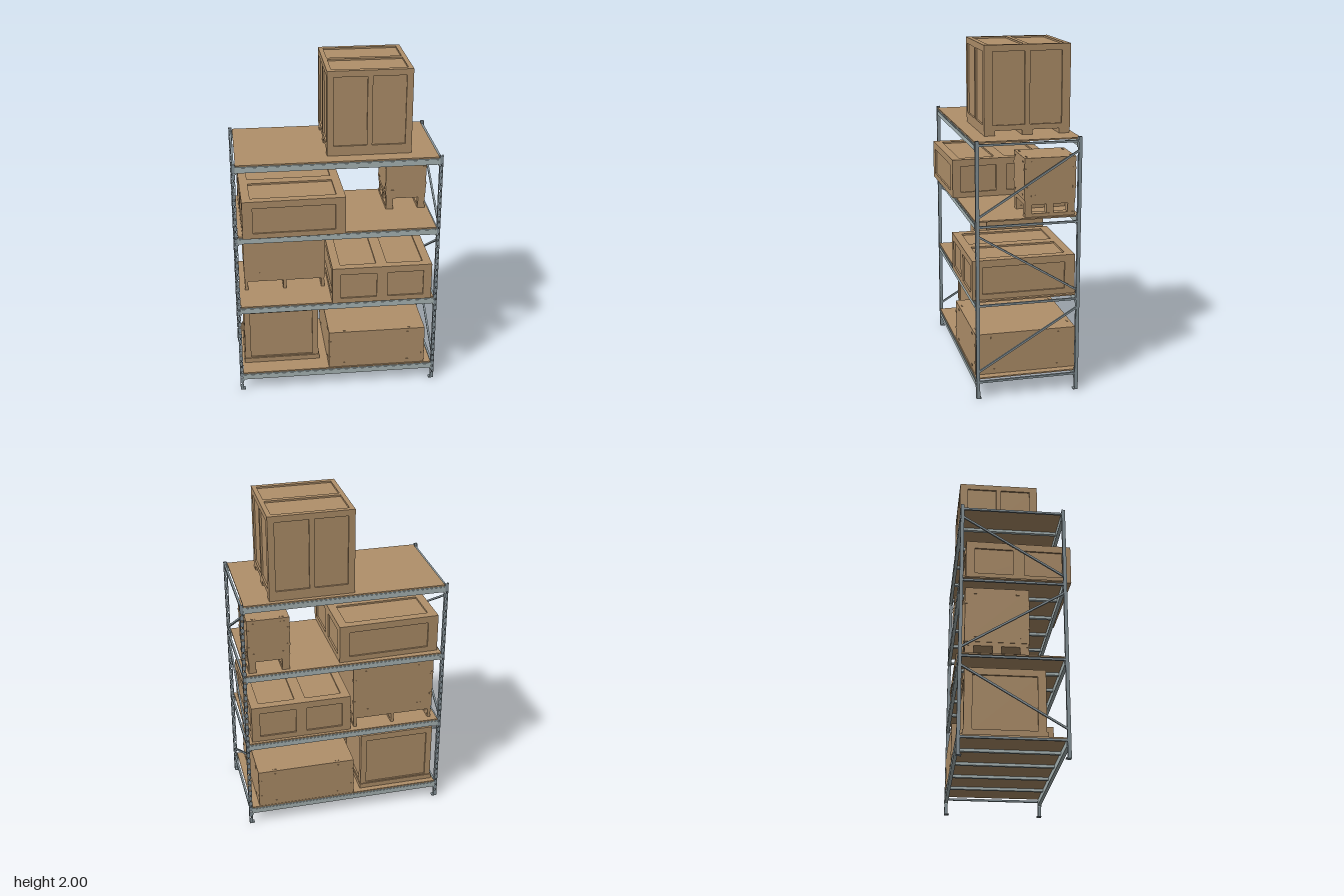
import * as THREE from 'three';

const wood = new THREE.MeshStandardMaterial({ color: 0xb0906a });
const beamSteel = new THREE.MeshStandardMaterial({ color: 0xa9b6b6 });
const postSteel = new THREE.MeshStandardMaterial({ color: 0x87949a });

function add(parent, name, geo, mat, x = 0, y = 0, z = 0) {
  const m = new THREE.Mesh(geo, mat);
  m.name = name;
  m.position.set(x, y, z);
  parent.add(m);
  return m;
}
const box = (parent, name, mat, w, h, d, x, y, z) =>
  add(parent, name, new THREE.BoxGeometry(w, h, d), mat, x, y, z);

function group(parent, name, x = 0, y = 0, z = 0) {
  const g = new THREE.Group();
  g.name = name;
  g.position.set(x, y, z);
  parent.add(g);
  return g;
}

function rectPath(P, x0, y0, x1, y1) {
  const p = new P();
  p.moveTo(x0, y0).lineTo(x1, y0).lineTo(x1, y1).lineTo(x0, y1).closePath();
  return p;
}

// Flat frame with n openings side by side, centred in x/y, from z = 0 to z = t
function frameGeo(w, h, n, { side, top, bottom, mid }, t) {
  const s = rectPath(THREE.Shape, -w / 2, -h / 2, w / 2, h / 2);
  const pw = (w - 2 * side - (n - 1) * mid) / n;
  for (let i = 0; i < n; i++) {
    const x = -w / 2 + side + i * (pw + mid);
    s.holes.push(rectPath(THREE.Path, x, -h / 2 + bottom, x + pw, h / 2 - top));
  }
  return new THREE.ExtrudeGeometry(s, { depth: t, bevelEnabled: false });
}

// Crate standing on y = 0: solid core with raised frames on the sides and the lid
function crate(parent, name, [w, h, d], [x, y, z], nFront, nSide, border, lid, t = 0.01) {
  const g = group(parent, name, x, y, z);
  box(g, 'core', wood, w - 2 * t, h - t, d - 2 * t, 0, (h - t) / 2, 0);
  const hs = h - t;
  for (const s of [1, -1]) {
    const f = add(g, 'frontBackFrame', frameGeo(w, hs, nFront, border, t), wood, 0, hs / 2, s * (d / 2 - t));
    f.rotation.y = s > 0 ? 0 : Math.PI;
    const e = add(g, 'sideFrame', frameGeo(d - 2 * t, hs, nSide, border, t), wood, s * (w / 2 - t), hs / 2, 0);
    e.rotation.y = s * Math.PI / 2;
  }
  const l = add(g, 'lidFrame', frameGeo(lid.turn ? d : w, lid.turn ? w : d, lid.n, lid, t), wood, 0, hs, 0);
  l.rotation.set(-Math.PI / 2, 0, lid.turn ? Math.PI / 2 : 0);
  return g;
}

// Plain box with small metal-free clips along its edges
function clippedBox(parent, name, [w, h, d], [x, y, z]) {
  const g = group(parent, name, x, y, z);
  box(g, 'body', wood, w, h, d, 0, h / 2, 0);
  const e = 0.004;
  for (const sx of [-1, 1]) for (const sz of [-1, 1]) {
    for (const k of [0.28, 0.72])
      box(g, 'cornerClip', wood, 0.02, 0.014, 0.02, sx * (w / 2 - 0.01 + e / 2), h * k, sz * (d / 2 - 0.01 + e / 2));
    for (const ky of [0.1, 0.9]) {
      box(g, 'faceClip', wood, 0.024, 0.009, e, sx * w * 0.33, h * ky, sz * d / 2);
      box(g, 'faceClip', wood, e, 0.009, 0.024, sx * w / 2, h * ky, sz * d * 0.33);
    }
    box(g, 'lidClip', wood, 0.024, e, 0.009, sx * w * 0.33, h, sz * (d / 2 - 0.02));
  }
  return g;
}

// Pallet: deck on blocks with runners along z
function pallet(parent, name, [w, h, d], [x, y, z], nRunners, bw) {
  const g = group(parent, name, x, y, z);
  const deck = h * 0.28, run = h * 0.2;
  box(g, 'deck', wood, w, deck, d, 0, h - deck / 2, 0);
  for (let i = 0; i < nRunners; i++) {
    const px = (i / (nRunners - 1) - 0.5) * (w - bw);
    box(g, 'runner', wood, bw, run, d, px, run / 2, 0);
    for (const k of [-1, 0, 1])
      box(g, 'block', wood, bw * 0.9, h - deck - run, d * 0.14, px, (h - deck + run) / 2, k * d * 0.43);
  }
  return g;
}

// Straight square bar between two points
function bar(parent, name, a, b, s) {
  const len = a.distanceTo(b);
  const m = add(parent, name, new THREE.BoxGeometry(s, s, len), postSteel);
  m.position.copy(a).add(b).multiplyScalar(0.5);
  m.lookAt(b);
  return m;
}

const FRONT = 0.276, BACK = -0.308, POST_X = 0.596, POST_H = 1.505;
const SHELVES = [0.12, 0.585, 1.052, 1.497]; // shelf top heights

function slottedPost(parent, x, z) {
  const g = group(parent, 'post', x, 0, z);
  const out = z > 0 ? 1 : -1, inward = x > 0 ? -1 : 1;
  const s = rectPath(THREE.Shape, -0.01, 0, 0.01, POST_H);
  for (let i = 0; i < 36; i++) for (const hx of [-0.005, 0.005]) {
    const y = 0.04 + i * 0.04;
    s.holes.push(rectPath(THREE.Path, hx - 0.002, y, hx + 0.002, y + 0.013));
  }
  add(g, 'slottedFace', new THREE.ExtrudeGeometry(s, { depth: 0.002, bevelEnabled: false }), postSteel,
    0, 0, out > 0 ? 0.008 : -0.01);
  for (const k of [-1, 1]) box(g, 'flange', postSteel, 0.002, POST_H, 0.018, k * 0.009, POST_H / 2, -out * 0.001);
  box(g, 'footPlate', postSteel, 0.03, 0.005, 0.028, inward * 0.006, 0.0025, -out * 0.004);
}

function rack(parent) {
  const g = group(parent, 'rack');
  const v = (x, y, z) => new THREE.Vector3(x, y, z);
  for (const sx of [-1, 1]) {
    const x = sx * POST_X;
    slottedPost(g, x, FRONT);
    slottedPost(g, x, BACK);
    // Side frame ties and zigzag braces
    for (const y of [0.1, 0.56, 1.02, 1.48]) bar(g, 'sideTie', v(x, y, BACK), v(x, y, FRONT), 0.012);
    bar(g, 'diagonalBrace', v(x, 0.16, FRONT), v(x, 0.51, BACK), 0.011);
    bar(g, 'diagonalBrace', v(x, 0.61, BACK), v(x, 0.97, FRONT), 0.011);
    bar(g, 'diagonalBrace', v(x, 1.07, FRONT), v(x, 1.43, BACK), 0.011);
  }
  for (const top of SHELVES) {
    const s = group(g, 'shelf', 0, top, 0);
    box(s, 'panel', wood, 1.168, 0.008, 0.602, 0, -0.004, -0.017);
    for (const [z, out] of [[FRONT, 1], [BACK, -1]]) {
      // Stepped beam with end hooks
      box(s, 'beam', beamSteel, 1.172, 0.036, 0.02, 0, -0.028, z);
      box(s, 'beamLip', beamSteel, 1.172, 0.006, 0.004, 0, -0.018, z + out * 0.01);
      for (const sx of [-1, 1])
        box(s, 'beamHook', beamSteel, 0.008, 0.046, 0.024, sx * 0.583, -0.03, z);
    }
    for (const x of [-0.36, -0.12, 0.12, 0.36])
      box(s, 'crossBar', beamSteel, 0.02, 0.016, FRONT - BACK - 0.02, x, -0.016, (FRONT + BACK) / 2);
  }
}

export function createModel() {
  const model = new THREE.Group();
  model.name = 'loadedStorageRack';
  rack(model);
  const cargo = group(model, 'cargo');
  const [s1, s2, s3, s4] = SHELVES;

  // Top: large crate on skids
  crate(cargo, 'largeCrate', [0.49, 0.475, 0.495], [0.19, s4 + 0.028, -0.048], 2, 2,
    { side: 0.038, top: 0.026, bottom: 0.03, mid: 0.03 },
    { turn: true, n: 2, side: 0.03, top: 0.027, bottom: 0.027, mid: 0.03 });
  for (const z of [0.168, -0.048, -0.263])
    box(cargo, 'skid', wood, 0.49, 0.028, 0.06, 0.19, s4 + 0.014, z);

  // Third shelf: low crate turned sideways, and a small box on a pallet
  const lowBorder = { side: 0.05, top: 0.032, bottom: 0.032, mid: 0.065 };
  const lowLid = { n: 2, side: 0.05, top: 0.05, bottom: 0.05, mid: 0.065 };
  const low = [0.6, 0.232, 0.6];
  const turned = crate(cargo, 'lowCrateTurned', low, [-0.263, s3, 0.013], 2, 1, lowBorder, lowLid);
  turned.rotation.y = Math.PI / 2 + 0.02;
  pallet(cargo, 'smallPallet', [0.24, 0.098, 0.29], [0.447, s3, -0.147], 2, 0.045);
  clippedBox(cargo, 'smallBox', [0.246, 0.24, 0.296], [0.447, s3 + 0.098, -0.147]);

  // Second shelf: box on a pallet and a low crate
  pallet(cargo, 'widePallet', [0.49, 0.08, 0.355], [-0.305, s2, -0.102], 3, 0.02);
  clippedBox(cargo, 'palletBox', [0.496, 0.33, 0.36], [-0.305, s2 + 0.08, -0.102]);
  crate(cargo, 'lowCrate', low, [0.265, s2, 0], 2, 1, lowBorder, lowLid);

  // Bottom shelf: tall crate with a skirt, and a long plain box
  crate(cargo, 'tallCrate', [0.456, 0.386, 0.445], [-0.338, s1, -0.058], 1, 1,
    { side: 0.036, top: 0.03, bottom: 0.036, mid: 0 },
    { n: 1, side: 0.036, top: 0.036, bottom: 0.036, mid: 0 });
  box(cargo, 'tallCrateSkirt', wood, 0.468, 0.03, 0.455, -0.338, s1 + 0.015, -0.058);
  clippedBox(cargo, 'longBox', [0.594, 0.246, 0.594], [0.243, s1, -0.019]);

  return model;
}
